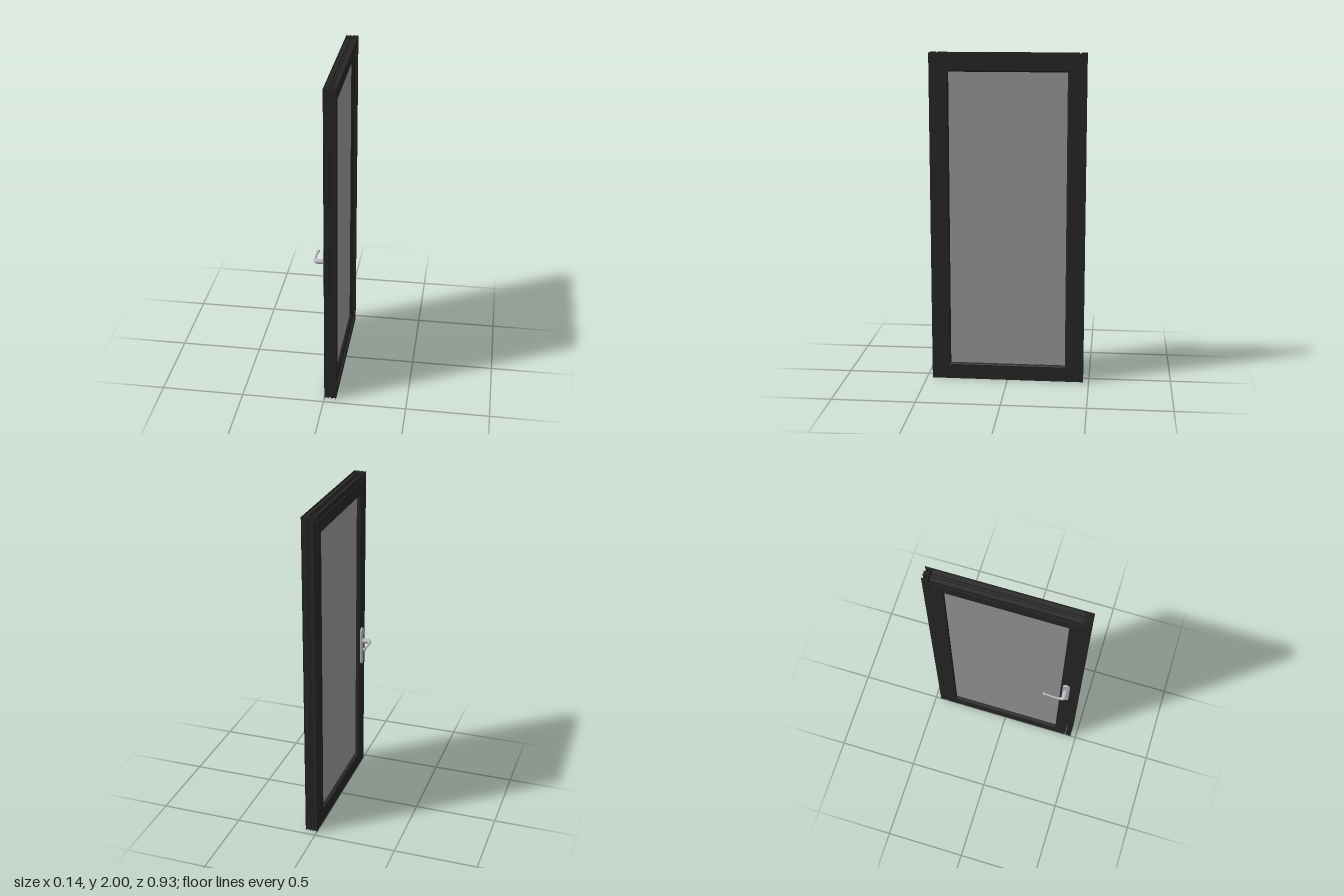
import * as THREE from 'three';

const HALF = 0.465, H = 2;
const dark = new THREE.MeshStandardMaterial({ color: 0x262626, side: THREE.DoubleSide });
const metal = new THREE.MeshStandardMaterial({ color: 0xb4b8c0 });
const glass = new THREE.MeshStandardMaterial({ color: 0x999999 });

function rect(Type, x0, d0, x1, d1) {
  const s = new Type();
  s.moveTo(x0, d0);
  s.lineTo(x1, d0);
  s.lineTo(x1, d1);
  s.lineTo(x0, d1);
  s.closePath();
  return s;
}

// Hollow two-chamber section: x is depth, d is the distance in from the outer edge
function frameSection(flange) {
  const t = 0.003;
  const shapes = [[0, 0.028], [0.041, 0.072]].map(([a, b]) => {
    const chamber = rect(THREE.Shape, a, 0.01, b, 0.035);
    chamber.holes.push(rect(THREE.Path, a + t, 0.01 + t, b - t, 0.035 - t));
    return chamber;
  });
  // insulating webs between the chambers
  for (const d of [0.015, 0.027]) shapes.push(rect(THREE.Shape, 0.028, d, 0.041, d + t));
  // outer fins and inner stop flange
  for (const x of [0, 0.025, 0.041, 0.069]) shapes.push(rect(THREE.Shape, x, 0, x + t, 0.01));
  shapes.push(rect(THREE.Shape, 0.069, 0.035, 0.072, flange));
  return shapes;
}

function frameBar(name, flange, length, start, inward) {
  const geo = new THREE.ExtrudeGeometry(frameSection(flange), { depth: length, bevelEnabled: false });
  const X = new THREE.Vector3(1, 0, 0);
  const m = new THREE.Matrix4().makeBasis(X, inward, X.clone().cross(inward)).setPosition(...start);
  const mesh = new THREE.Mesh(geo.applyMatrix4(m), dark);
  mesh.name = name;
  return mesh;
}

// Sweep a section of [x, inset] points round a rectangle with mitred corners
function mitredFrame(section, halfZ, y0, y1) {
  const corners = [[1, 0], [1, 1], [-1, 1], [-1, 0]];
  const point = ([x, inset], [sz, top]) => [x, top ? y1 - inset : y0 + inset, sz * (halfZ - inset)];
  const pos = [];
  corners.forEach((c, k) => {
    const next = corners[(k + 1) % 4];
    section.forEach((p, i) => {
      const q = section[(i + 1) % section.length];
      const [a, b, e, f] = [point(p, c), point(q, c), point(q, next), point(p, next)];
      pos.push(...a, ...f, ...e, ...a, ...e, ...b);
    });
  });
  const geo = new THREE.BufferGeometry();
  geo.setAttribute('position', new THREE.Float32BufferAttribute(pos, 3));
  geo.computeVertexNormals();
  return geo;
}

function makeHandle() {
  const handle = new THREE.Group();
  handle.name = 'handle';
  const add = (name, geo, x, y, z) => {
    const mesh = new THREE.Mesh(geo, metal);
    mesh.name = name;
    mesh.position.set(x, y, z);
    handle.add(mesh);
  };

  // round-ended back plate
  const r = 0.02, h = 0.103;
  const outline = new THREE.Shape();
  outline.absarc(0, h, r, 0, Math.PI, false);
  outline.absarc(0, -h, r, Math.PI, 2 * Math.PI, false);
  const plate = new THREE.ExtrudeGeometry(outline, {
    depth: 0.01, bevelSize: 0.002, bevelThickness: 0.003, bevelSegments: 3, curveSegments: 16,
  });
  add('handlePlate', plate.rotateY(-Math.PI / 2), 0, 0.875, 0.387);

  // neck bending into a tapering lever
  const curve = new THREE.CatmullRomCurve3([
    [-0.01, 0.387], [-0.035, 0.387], [-0.053, 0.386], [-0.062, 0.376],
    [-0.066, 0.355], [-0.066, 0.32], [-0.063, 0.27],
  ].map(([x, z]) => new THREE.Vector3(x, 0, z)));
  const n = 48, sides = 16;
  const lever = new THREE.TubeGeometry(curve, n, 0.015, sides);
  const p = lever.attributes.position, v = new THREE.Vector3();
  for (let i = 0; i <= n; i++) {
    const u = i / n, c = curve.getPointAt(u);
    const k = 1 - 0.62 * THREE.MathUtils.smoothstep(u, 0.22, 0.5);
    for (let j = 0; j <= sides; j++) {
      const id = i * (sides + 1) + j;
      v.fromBufferAttribute(p, id).sub(c).multiplyScalar(k).add(c);
      p.setXYZ(id, v.x, v.y, v.z);
    }
  }
  lever.computeVertexNormals();
  add('lever', lever, 0, 0.91, 0);
  add('leverKnob', new THREE.SphereGeometry(0.01, 20, 14), -0.063, 0.91, 0.267);
  return handle;
}

export function createModel() {
  const door = new THREE.Group();
  door.name = 'door';

  // outer frame: full-height jambs with rails between
  const V = (y, z) => new THREE.Vector3(0, y, z);
  door.add(
    frameBar('leftJamb', 0.053, H, [0, 0, HALF], V(0, -1)),
    frameBar('rightJamb', 0.053, H, [0, H, -HALF], V(0, 1)),
    frameBar('topRail', 0.048, 0.84, [0, H, 0.42], V(-1, 0)),
    frameBar('bottomRail', 0.042, 0.84, [0, 0, -0.42], V(1, 0)),
  );

  // opening leaf with overlapping lip and sloped glazing bead
  const leaf = new THREE.Mesh(mitredFrame([
    [-0.002, 0.038], [-0.002, 0.113], [0.045, 0.113], [0.056, 0.108], [0.06, 0.104],
    [0.06, 0.05], [0.004, 0.05], [0.004, 0.038],
  ], HALF, -0.017, H), dark);
  leaf.name = 'leaf';
  door.add(leaf);

  // glazing, tucked into the leaf
  const pane = new THREE.Mesh(new THREE.BoxGeometry(0.024, 1.805, 0.715), glass);
  pane.name = 'glassPane';
  pane.position.set(0.033, 0.9915, 0);
  door.add(pane);

  door.add(makeHandle());
  return door;
}
